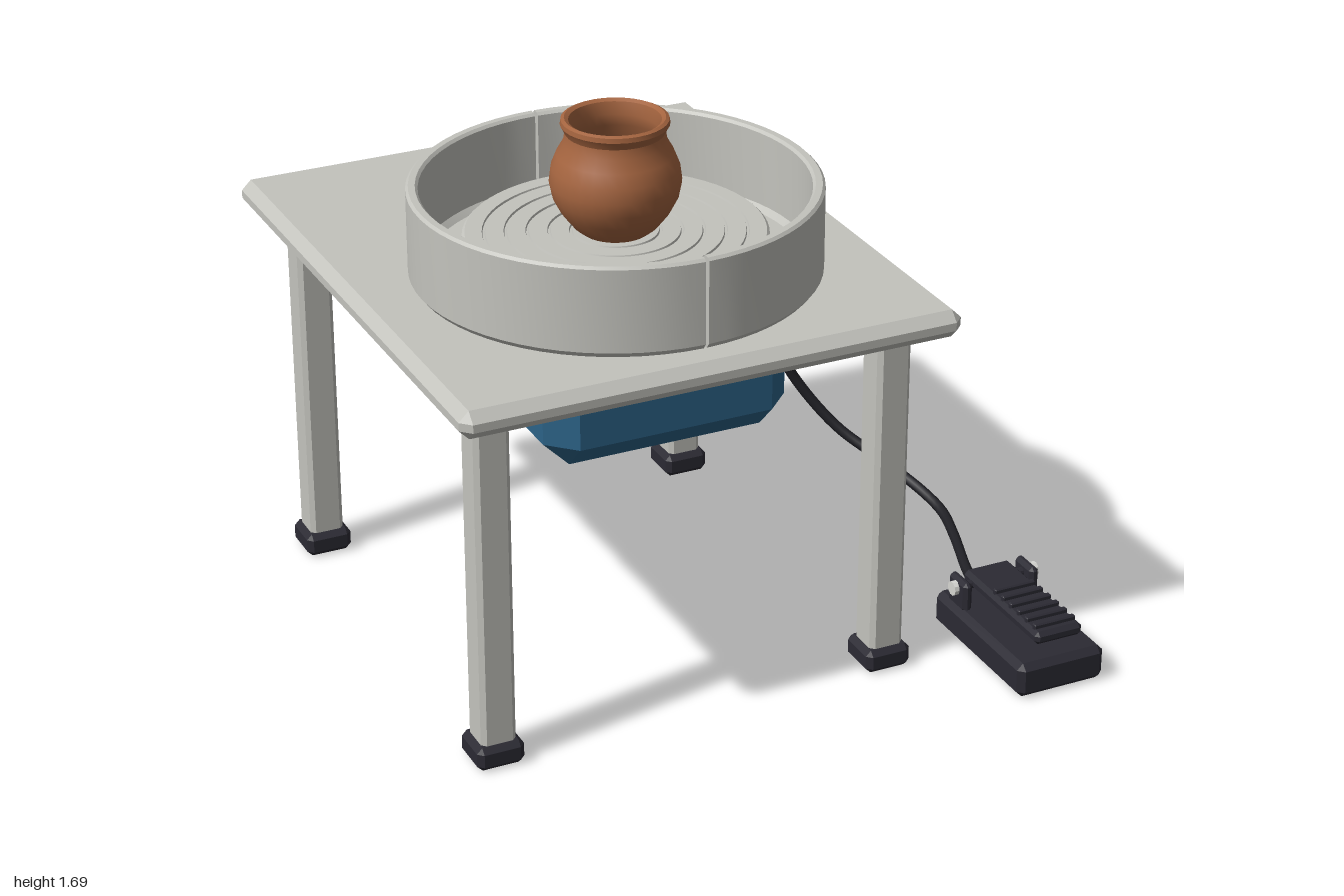
import * as THREE from 'three';
import { toCreasedNormals } from 'three/addons/utils/BufferGeometryUtils.js';
import { ConvexGeometry } from 'three/addons/geometries/ConvexGeometry.js';

const paint = (name, color, side = THREE.FrontSide) => {
  const m = new THREE.MeshStandardMaterial({ color, side });
  m.name = name;
  return m;
};

export function createModel() {
  const model = new THREE.Group();
  model.name = 'potteryWheel';
  const grey = paint('lightGrey', 0xc3c3bd, THREE.DoubleSide);
  const blue = paint('motorBlue', 0x2c6388);
  const dark = paint('darkRubber', 0x2b2a33);
  const black = paint('cableBlack', 0x212126);
  const clay = paint('terracotta', 0xa4643f);
  const silver = paint('boltSilver', 0xd6d6d2);

  const add = (name, geometry, material, parent = model) => {
    const mesh = new THREE.Mesh(geometry, material);
    mesh.name = name;
    parent.add(mesh);
    return mesh;
  };

  // Box given by its limits, with every edge chamfered by c
  const box = (name, [x0, x1], [y0, y1], [z0, z1], c, material, parent) => {
    const h = [(x1 - x0) / 2, (y1 - y0) / 2, (z1 - z0) / 2];
    const points = [];
    for (const sx of [-1, 1]) for (const sy of [-1, 1]) for (const sz of [-1, 1])
      for (let full = 0; full < 3; full++) {
        const p = [sx, sy, sz].map((s, i) => s * (h[i] - (i === full ? 0 : c)));
        points.push(new THREE.Vector3(...p));
      }
    const mesh = add(name, new ConvexGeometry(points), material, parent);
    mesh.position.set((x0 + x1) / 2, (y0 + y1) / 2, (z0 + z1) / 2);
    return mesh;
  };

  // Cylinder lying along x
  const rod = (name, x0, x1, y, z, r, sides, material, parent) => {
    const g = new THREE.CylinderGeometry(r, r, x1 - x0, sides).rotateZ(Math.PI / 2);
    const mesh = add(name, toCreasedNormals(g, 0.6), material, parent);
    mesh.position.set((x0 + x1) / 2, y, z);
    return mesh;
  };

  const vecs = (list) => list.map(([x, y]) => new THREE.Vector2(x, y));
  const lathe = (points, sides, start = 0, length = Math.PI * 2) =>
    toCreasedNormals(new THREE.LatheGeometry(vecs(points), sides, start, length), 0.5);

  // Table
  box('tableTop', [-1, 0.54], [1.13, 1.215], [-0.995, 0.806], 0.03, grey);
  for (const x of [-0.855, 0.4])
    for (const z of [0.605, -0.787]) {
      box('leg', [x - 0.054, x + 0.054], [0.04, 1.15], [z - 0.054, z + 0.054], 0.014, grey);
      box('foot', [x - 0.073, x + 0.073], [0, 0.075], [z - 0.073, z + 0.073], 0.017, dark);
    }

  // Motor housing and control box
  box('motorHousing', [-0.615, 0.15], [0.8, 1.2], [-0.3, 0.527], 0.08, blue);
  box('motorBasePlate', [-0.515, 0.045], [0.783, 0.815], [-0.205, 0.425], 0.01, dark);
  box('controlBox', [0.12, 0.42], [0.94, 1.145], [-0.655, -0.302], 0.025, blue);
  rod('socket', 0.41, 0.445, 1.04, -0.477, 0.045, 16, dark);
  box('plugHead', [0.43, 0.46], [1.012, 1.068], [-0.505, -0.449], 0.006, dark);
  rod('speedKnob', 0.41, 0.463, 1.04, -0.592, 0.034, 16, dark);
  box('cablePlug', [0.41, 0.46], [0.91, 0.99], [-0.505, -0.449], 0.006, dark);

  // Cable hanging from the plug to the pedal
  const path = new THREE.CatmullRomCurve3([
    [0.435, 0.93, -0.477], [0.47, 0.81, -0.482], [0.59, 0.57, -0.508], [0.69, 0.38, -0.5],
    [0.8, 0.225, -0.42], [0.9, 0.14, -0.3], [0.965, 0.085, -0.15], [0.98, 0.06, -0.04],
    [0.94, 0.057, 0.11], [0.86, 0.064, 0.33], [0.81, 0.066, 0.5],
  ].map((p) => new THREE.Vector3(...p)));
  add('cable', new THREE.TubeGeometry(path, 64, 0.017, 8), black);

  // Foot pedal
  const pedal = new THREE.Group();
  pedal.name = 'footPedal';
  model.add(pedal);
  box('pedalBase', [0.662, 0.955], [0, 0.112], [0.475, 0.993], 0.02, dark, pedal);
  box('treadle', [0.728, 0.888], [0.153, 0.195], [0.53, 0.967], 0.013, dark, pedal);
  for (let i = 0; i < 6; i++) {
    const z = 0.7 + i * 0.046;
    box('treadleRidge', [0.738, 0.878], [0.185, 0.209], [z - 0.009, z + 0.009], 0.004, dark, pedal);
  }
  rod('hingePin', 0.69, 0.925, 0.168, 0.58, 0.014, 10, dark, pedal);
  for (const s of [-1, 1]) {
    const x = 0.808 + s * 0.115;
    box('hingeEar', [x - 0.016, x + 0.016], [0.1, 0.2], [0.53, 0.632], 0.012, dark, pedal);
    rod('hingeBolt', x + s * 0.021 - 0.01, x + s * 0.021 + 0.01, 0.168, 0.58, 0.023, 10, silver, pedal);
  }

  // Everything that sits around the wheel axis
  const wheel = new THREE.Group();
  wheel.name = 'wheelAssembly';
  wheel.position.set(-0.231, 0, 0.112);
  model.add(wheel);

  // Splash pan in two halves, split front to back by a narrow gap
  const panProfile = [
    [0.08, 1.213], [0.588, 1.213], [0.603, 1.232], [0.603, 1.483], [0.595, 1.491],
    [0.575, 1.491], [0.567, 1.483], [0.567, 1.255], [0.55, 1.238], [0.08, 1.238], [0.08, 1.213],
  ];
  const gap = 0.008;
  for (const s of [0, 1]) {
    const half = new THREE.Group();
    half.name = s ? 'splashPanRight' : 'splashPanLeft';
    half.rotation.y = s * Math.PI;
    wheel.add(half);
    add('panShell', lathe(panProfile, 32, gap, Math.PI - 2 * gap), grey, half);
    for (const phi of [gap, Math.PI - gap]) {
      const cap = add('panSeam', new THREE.ShapeGeometry(new THREE.Shape(vecs(panProfile))), grey, half);
      cap.rotation.y = phi - Math.PI / 2;
    }
  }

  // Wheel head with concentric grooves
  const headProfile = [[0, 1.3], [0.435, 1.3], [0.445, 1.31], [0.445, 1.332], [0.437, 1.34]];
  for (const r of [0.382, 0.319, 0.256, 0.193, 0.13])
    headProfile.push([r + 0.005, 1.34], [r + 0.003, 1.334], [r - 0.003, 1.334], [r - 0.005, 1.34]);
  headProfile.push([0, 1.34]);
  add('wheelHead', lathe(headProfile, 64), grey, wheel);
  add('driveShaft', new THREE.CylinderGeometry(0.07, 0.07, 0.11, 24), dark, wheel).position.y = 1.25;

  // Clay pot, outside up to the rim and back down inside
  add('pot', lathe([
    [0, 1.34], [0.1, 1.34], [0.125, 1.36], [0.16, 1.405], [0.183, 1.45], [0.192, 1.495],
    [0.186, 1.54], [0.17, 1.58], [0.15, 1.615], [0.145, 1.645], [0.152, 1.66], [0.158, 1.67],
    [0.156, 1.684], [0.146, 1.689], [0.134, 1.682], [0.125, 1.645], [0.13, 1.61], [0.155, 1.565],
    [0.17, 1.5], [0.162, 1.45], [0.135, 1.4], [0.1, 1.368], [0, 1.362],
  ], 32), clay, wheel);

  return model;
}
